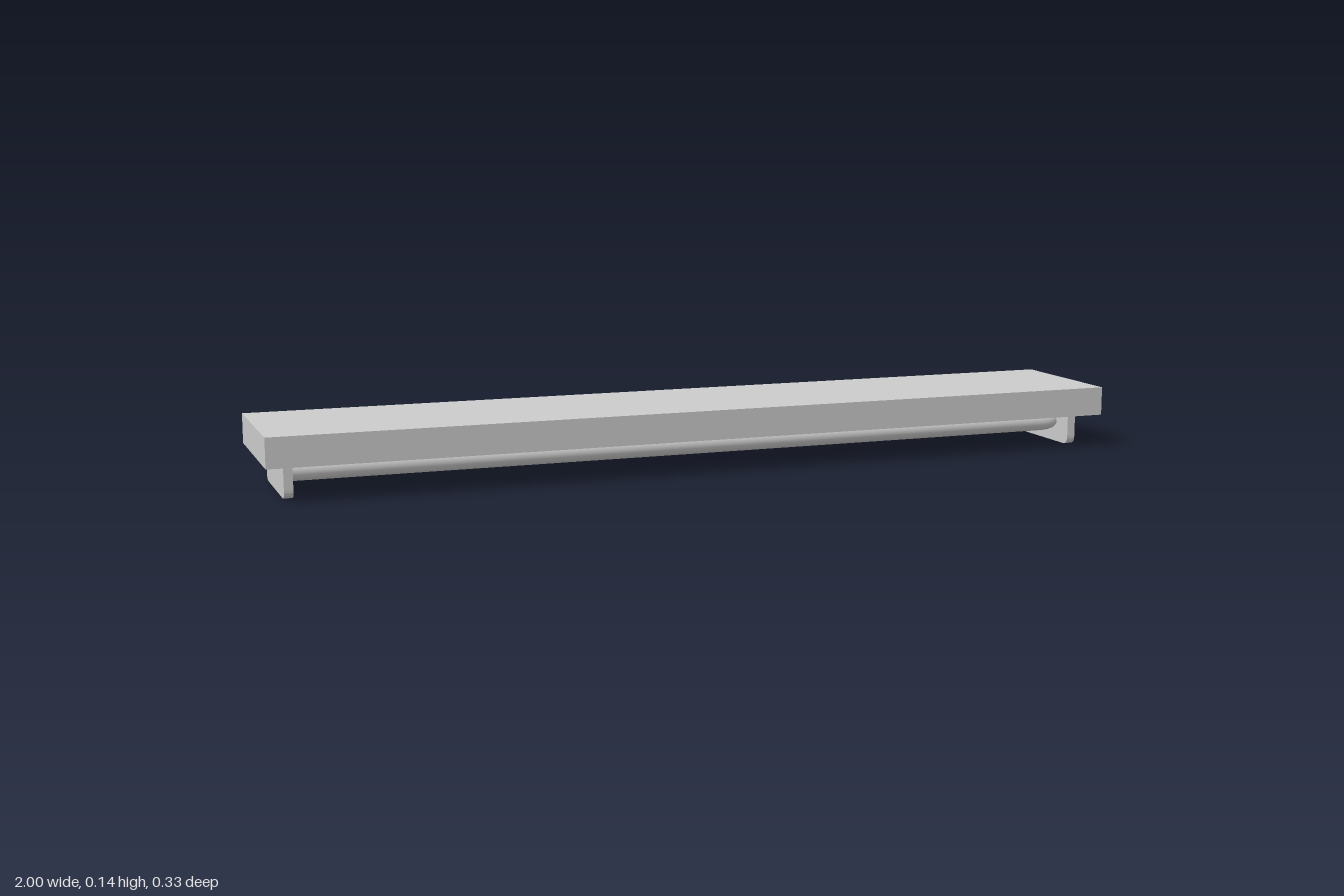
import * as THREE from 'three';

const grey = new THREE.MeshStandardMaterial({ color: 0xcccccc });

function add(parent, name, geometry, x = 0, y = 0, z = 0) {
  const mesh = new THREE.Mesh(geometry, grey);
  mesh.name = name;
  mesh.position.set(x, y, z);
  parent.add(mesh);
  return mesh;
}

// Upright plate with rounded lower corners, extruded along x
function holderGeometry(halfWidth, top, radius, thickness) {
  const s = new THREE.Shape();
  s.moveTo(-halfWidth, top);
  s.lineTo(-halfWidth, radius);
  s.quadraticCurveTo(-halfWidth, 0, -halfWidth + radius, 0);
  s.lineTo(halfWidth - radius, 0);
  s.quadraticCurveTo(halfWidth, 0, halfWidth, radius);
  s.lineTo(halfWidth, top);
  s.closePath();
  const g = new THREE.ExtrudeGeometry(s, { depth: thickness, bevelEnabled: false, curveSegments: 6 });
  g.translate(0, 0, -thickness / 2);
  g.rotateY(Math.PI / 2);
  return g;
}

export function createModel() {
  const group = new THREE.Group();
  group.name = 'batten light';

  const bottom = 0.077, top = 0.144, depth = 0.334, rim = 0.014, recess = 0.018;

  // Housing: solid upper slab and a thin rim around the recessed underside
  const slabHeight = top - bottom - recess;
  add(group, 'housingSlab', new THREE.BoxGeometry(2, slabHeight, depth), 0, top - slabHeight / 2, 0);

  const outline = new THREE.Shape([
    new THREE.Vector2(-1, -depth / 2), new THREE.Vector2(1, -depth / 2),
    new THREE.Vector2(1, depth / 2), new THREE.Vector2(-1, depth / 2),
  ]);
  const ix = 1 - rim, iz = depth / 2 - rim;
  outline.holes.push(new THREE.Path([
    new THREE.Vector2(-ix, -iz), new THREE.Vector2(-ix, iz),
    new THREE.Vector2(ix, iz), new THREE.Vector2(ix, -iz),
  ]));
  const rimGeometry = new THREE.ExtrudeGeometry(outline, { depth: recess, bevelEnabled: false });
  rimGeometry.rotateX(-Math.PI / 2);
  add(group, 'housingRim', rimGeometry, 0, bottom, 0);

  // Tube holders at both ends, reaching up to the recessed panel
  for (const side of [-1, 1]) {
    add(group, side > 0 ? 'leftHolder' : 'rightHolder',
      holderGeometry(0.119, bottom + recess, 0.02, 0.02), side * 0.947, 0, 0);
  }

  // Two lamp tubes with a tapered left end
  const r = 0.021;
  const profile = [
    [0, -0.94], [r, -0.94], [r, 0.895], [0.0195, 0.912], [0.016, 0.925], [0.011, 0.933], [0, 0.938],
  ].map(([x, y]) => new THREE.Vector2(x, y));
  const tubeGeometry = new THREE.LatheGeometry(profile, 24);
  tubeGeometry.rotateZ(-Math.PI / 2);
  for (const side of [-1, 1]) {
    add(group, side > 0 ? 'frontTube' : 'backTube', tubeGeometry, 0, 0.05, side * 0.063);
  }

  return group;
}
